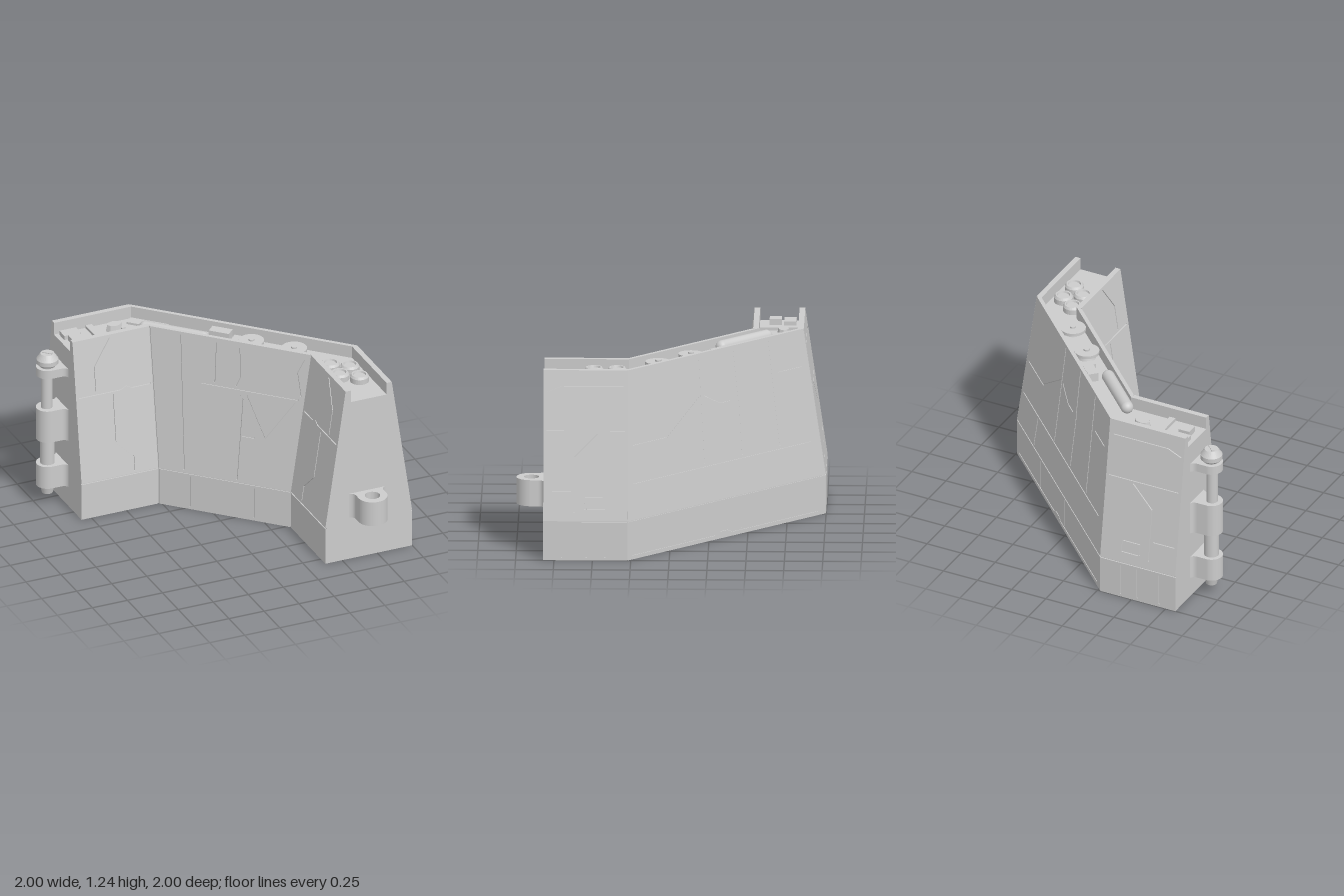
import * as THREE from 'three';

const MAT = new THREE.MeshStandardMaterial({ color: 0xcccccc });
const V2 = (x, y) => new THREE.Vector2(x, y);
const MID = 0.69, END = 0.82, BEND = 0.27, TOP = 1.24, BAND = 0.26, FLOOR = 1.155;
const SKIN = 0.008; // thickness of the armour plating
const halfWidth = y => (y <= BAND ? 0.31 : 0.31 - 0.145 * (y - BAND) / (TOP - BAND));

function mesh(parent, name, geo, x = 0, y = 0, z = 0, ry = 0) {
  const m = new THREE.Mesh(geo, MAT);
  m.name = name;
  m.position.set(x, y, z);
  m.rotation.y = ry;
  parent.add(m);
  return m;
}

function flat(geo) {
  const g = geo.index ? geo.toNonIndexed() : geo;
  g.computeVertexNormals();
  return g;
}

// Trough-topped section swept through the two bends of the wall
function coreGeometry() {
  const b = 0.31 - SKIN, t = 0.165 - SKIN, r = 0.128;
  const section = [[-b, 0], [b, 0], [b, BAND], [t, TOP], [r, TOP], [r, FLOOR],
    [-r, FLOOR], [-r, TOP], [-t, TOP], [-b, BAND]];
  const stations = [
    d => [-END, -MID - d], d => [-BEND, -MID - d], d => [MID + d, BEND], d => [MID + d, END]];
  const n = section.length, pos = [], idx = [];
  for (const at of stations) for (const [d, y] of section) {
    const [x, z] = at(d);
    pos.push(x, y, z);
  }
  for (let s = 0; s < 3; s++) for (let i = 0; i < n; i++) {
    const a = s * n + i, c = s * n + (i + 1) % n;
    idx.push(a, c, c + n, a, c + n, a + n);
  }
  for (const [i, j, k] of THREE.ShapeUtils.triangulateShape(section.map(p => V2(...p)), [])) {
    idx.push(k, j, i, i + 3 * n, j + 3 * n, k + 3 * n);
  }
  const g = new THREE.BufferGeometry();
  g.setAttribute('position', new THREE.Float32BufferAttribute(pos, 3));
  g.setIndex(idx);
  return flat(g);
}

// Narrow closed slot following a polyline
function slot(points) {
  const p = points.map(q => V2(...q)), left = [], right = [];
  p.forEach((q, i) => {
    const dir = p[Math.min(i + 1, p.length - 1)].clone().sub(p[Math.max(i - 1, 0)]).normalize();
    const nrm = V2(-dir.y, dir.x).multiplyScalar(0.004);
    left.push(q.clone().add(nrm));
    right.unshift(q.clone().sub(nrm));
  });
  return new THREE.Path([...left, ...right]);
}

// One armour plate with grooves cut through it; side is +1 outside, -1 inside
function plate(face, side, y0, y1, seams) {
  const [lo, hi, place] = face;
  const g0 = y0 === BAND ? 0.004 : 0, g1 = y1 === BAND ? 0.004 : 0;
  const d0 = side * halfWidth(y0), d1 = side * halfWidth(y1);
  const gap = a => Math.abs(Math.abs(a) - END) < 1e-6 ? 0 : 0.003;
  const l0 = lo(d0), l1 = lo(d1), h0 = hi(d0), h1 = hi(d1);
  const shape = new THREE.Shape([V2(l0 + gap(l0), y0 + g0), V2(h0 - gap(h0), y0 + g0),
    V2(h1 - gap(h1), y1 - g1), V2(l1 + gap(l1), y1 - g1)]);
  shape.holes = seams.map(slot);
  let g = new THREE.ExtrudeGeometry(shape, { depth: SKIN, bevelEnabled: false });
  g = g.index ? g.toNonIndexed() : g;
  const p = g.attributes.position;
  for (let i = 0; i < p.count; i++) {
    const a = p.getX(i), y = p.getY(i);
    const [x, z] = place(a, side * (halfWidth(y) - SKIN + p.getZ(i)));
    p.setXYZ(i, x, y, z);
  }
  if (side > 0) for (let i = 0; i < p.count; i += 3) { // mirrored mapping: reverse the corners
    const a = new THREE.Vector3().fromBufferAttribute(p, i + 1);
    const b = new THREE.Vector3().fromBufferAttribute(p, i + 2);
    p.setXYZ(i + 1, b.x, b.y, b.z);
    p.setXYZ(i + 2, a.x, a.y, a.z);
  }
  return flat(g);
}

// Hinge lug: flared foot, round nose and optional bore, standing out along +z
function lug(r, reach, foot, height, bore) {
  const s = new THREE.Shape();
  s.moveTo(-foot, 0);
  s.lineTo(foot, 0);
  s.quadraticCurveTo(r, 0.01, r, 0.04);
  s.lineTo(r, reach);
  s.absarc(0, reach, r, 0, Math.PI, false);
  s.lineTo(-r, 0.04);
  s.quadraticCurveTo(-r, 0.01, -foot, 0);
  if (bore) s.holes.push(new THREE.Path().absarc(0, reach, bore, 0, Math.PI * 2, true));
  return new THREE.ExtrudeGeometry(s, { depth: height, bevelEnabled: false, curveSegments: 20 })
    .rotateX(Math.PI / 2).translate(0, height, 0);
}

export function createModel() {
  const group = new THREE.Group();
  const box = (w, h, d) => new THREE.BoxGeometry(w, h, d);
  const cyl = (r0, r1, h, n = 32) => new THREE.CylinderGeometry(r0, r1, h, n);
  mesh(group, 'wallCore', coreGeometry());

  // Plating: each face has start, end and placement rules
  const rightArm = [() => -END, () => -BEND, (a, d) => [a, -MID - d]];
  const leftArm = [() => BEND, () => END, (a, d) => [MID + d, a]];
  const middleOut = [d => -MID - d, () => BEND, (a, d) => [a + 0.42 + d, a]];
  const middleIn = [() => -BEND, d => MID + d, (a, d) => [a, a - 0.42 - d]];
  const armOut = [[[0.8, 0.85], [0.29, 0.85]], [[0.8, 1.1], [0.7, 1.14], [0.3, 1.14]],
    [[0.62, 0.32], [0.62, 0.68], [0.47, 0.83]], [[0.8, 0.46], [0.64, 0.46]],
    [[0.55, 0.34], [0.55, 0.42], [0.42, 0.42], [0.42, 0.34], [0.54, 0.34]]];
  const armOutBase = [0.7, 0.54, 0.42].map(a => [[a, 0.02], [a, 0.24]]);
  const armIn = [[[0.8, 0.85], [0.5, 0.85], [0.46, 0.87], [0.42, 0.85], [0.29, 0.85]],
    [[0.56, 1.22], [0.68, 1.04], [0.68, 0.87]], [[0.56, 0.83], [0.56, 0.5], [0.44, 0.38], [0.44, 0.28]]];
  const midOut = [[[-0.185, 1.22], [-0.225, 0.52]], [[-0.63, 1.22], [-0.705, 0.52]],
    [[-0.405, 1.22], [-0.435, 0.92], [-0.445, 0.86], [-0.465, 0.52]],
    [[0.24, 0.75], [0.02, 0.75], [-0.185, 0.965]], [[-0.215, 0.965], [-0.32, 0.89], [-0.39, 0.89]],
    [[-0.9, 0.5], [0.24, 0.5]], [[0.015, 0.48], [0.015, 0.28]], [[-0.69, 1.0], [-0.84, 1.0]]];
  const midOutBase = [[[-0.095, 0.04], [-0.095, 0.24]], [[-0.455, 0.04], [-0.455, 0.24]],
    [[-0.95, 0.03], [-0.4, 0.03], [-0.37, 0.05], [-0.32, 0.05], [-0.29, 0.03], [0.24, 0.03]]];
  const midIn = [[[-0.12, 1.22], [-0.145, 0.28]], [[0.055, 1.21], [0.035, 0.93]],
    [[0.17, 1.2], [0.165, 1.0], [0.14, 0.93]], [[-0.03, 0.91], [0.45, 0.91]],
    [[0.145, 0.89], [0.17, 0.85], [0.115, 0.28]], [[0.43, 0.89], [0.27, 0.6], [0.19, 0.88]],
    [[0.155, 0.59], [0.22, 0.59]], [[0.49, 1.2], [0.45, 1.1], [0.46, 0.94]]];
  const midInBase = [[[-0.115, 0.02], [-0.115, 0.24]], [[0.2, 0.02], [0.2, 0.24]]];
  const mirror = seams => seams.map(s => s.map(([a, y]) => [-a, y]));
  const faces = [
    ['rightArmOuterPlate', rightArm, 1, mirror(armOutBase), mirror(armOut)],
    ['rightArmInnerPlate', rightArm, -1, [], mirror(armIn)],
    ['middleOuterPlate', middleOut, 1, midOutBase, midOut],
    ['middleInnerPlate', middleIn, -1, midInBase, midIn],
    ['leftArmOuterPlate', leftArm, 1, armOutBase, armOut],
    ['leftArmInnerPlate', leftArm, -1, [], armIn]];
  for (const [name, face, side, low, high] of faces) {
    mesh(group, name + 'Base', plate(face, side, 0, BAND, low));
    mesh(group, name, plate(face, side, BAND, TOP, high));
  }

  // Fittings in the walkway trough
  const slab = (name, w, h, d, x, z, ry = 0) => mesh(group, name, box(w, h, d), x, FLOOR + h / 2, z, ry);
  const DIAG = -Math.PI / 4;
  slab('switchBox', 0.12, 0.03, 0.08, -0.73, -0.76);
  slab('switchBox', 0.08, 0.04, 0.08, -0.73, -0.665);
  slab('crossStrip', 0.045, 0.02, 0.25, -0.575, -0.69);
  slab('latchBlock', 0.03, 0.025, 0.09, -0.385, -0.72);
  mesh(group, 'latch', flat(cyl(0.05, 0.06, 0.045, 8)), -0.435, FLOOR + 0.022, -0.72).scale.z = 0.7;
  slab('flatPanel', 0.27, 0.015, 0.07, -0.21, -0.685, DIAG);
  const tank = new THREE.CapsuleGeometry(0.042, 0.4, 8, 20).rotateZ(Math.PI / 2);
  mesh(group, 'tank', tank, -0.122, FLOOR + 0.035, -0.468, DIAG);
  slab('controlBox', 0.14, 0.06, 0.07, 0.15, -0.33, DIAG);
  slab('smallBox', 0.05, 0.03, 0.09, 0.215, -0.235, DIAG);
  slab('linkPlate', 0.26, 0.012, 0.13, 0.385, -0.025, DIAG);
  for (const [x, z, r] of [[0.28, -0.13, 0.083], [0.49, 0.08, 0.085]]) {
    mesh(group, 'turntableStem', cyl(0.05, 0.06, 0.035), x, FLOOR + 0.017, z);
    mesh(group, 'turntable', cyl(r, r, 0.02), x, FLOOR + 0.045, z);
    mesh(group, 'turntableHub', cyl(0.02, 0.02, 0.012, 16), x, FLOOR + 0.06, z);
  }

  // Ringed buttons near the left end
  const cup = new THREE.LatheGeometry([[0.062, 0], [0.062, 0.035], [0.052, 0.05], [0.042, 0.05],
    [0.038, 0.038], [0, 0.038]].map(p => V2(...p)), 32);
  for (const [x, z] of [[0.63, 0.345], [0.735, 0.42], [0.63, 0.495], [0.735, 0.573]]) {
    mesh(group, 'button', flat(cup), x, FLOOR, z);
  }

  // Hinge socket on the left arm's end
  mesh(group, 'hingeSocket', lug(0.098, 0.082, 0.13, 0.175, 0.05), 0.68, 0.305, END);

  // Hinge lugs and pin on the right arm's end
  for (const [y, h] of [[0.14, 0.16], [0.48, 0.23], [0.95, 0.06]]) {
    mesh(group, 'hingeLug', lug(0.075, 0.105, 0.1, h), -END, y, -MID, -Math.PI / 2);
  }
  const px = -0.925;
  mesh(group, 'lowerPin', cyl(0.048, 0.048, 0.2), px, 0.39, -MID);
  mesh(group, 'upperPin', cyl(0.038, 0.038, 0.26), px - 0.005, 0.83, -MID);
  mesh(group, 'pinFoot', cyl(0.05, 0.036, 0.06), px, 0.11, -MID);
  const head = [[0.05, 0], [0.05, 0.01], [0.072, 0.03], [0.072, 0.06], [0.045, 0.1], [0, 0.1]];
  mesh(group, 'pinHead', flat(new THREE.LatheGeometry(head.map(p => V2(...p)), 32)), px, 1.005, -MID);
  mesh(group, 'pinSlot', box(0.07, 0.006, 0.018), px, 1.107, -MID, DIAG);
  return group;
}
